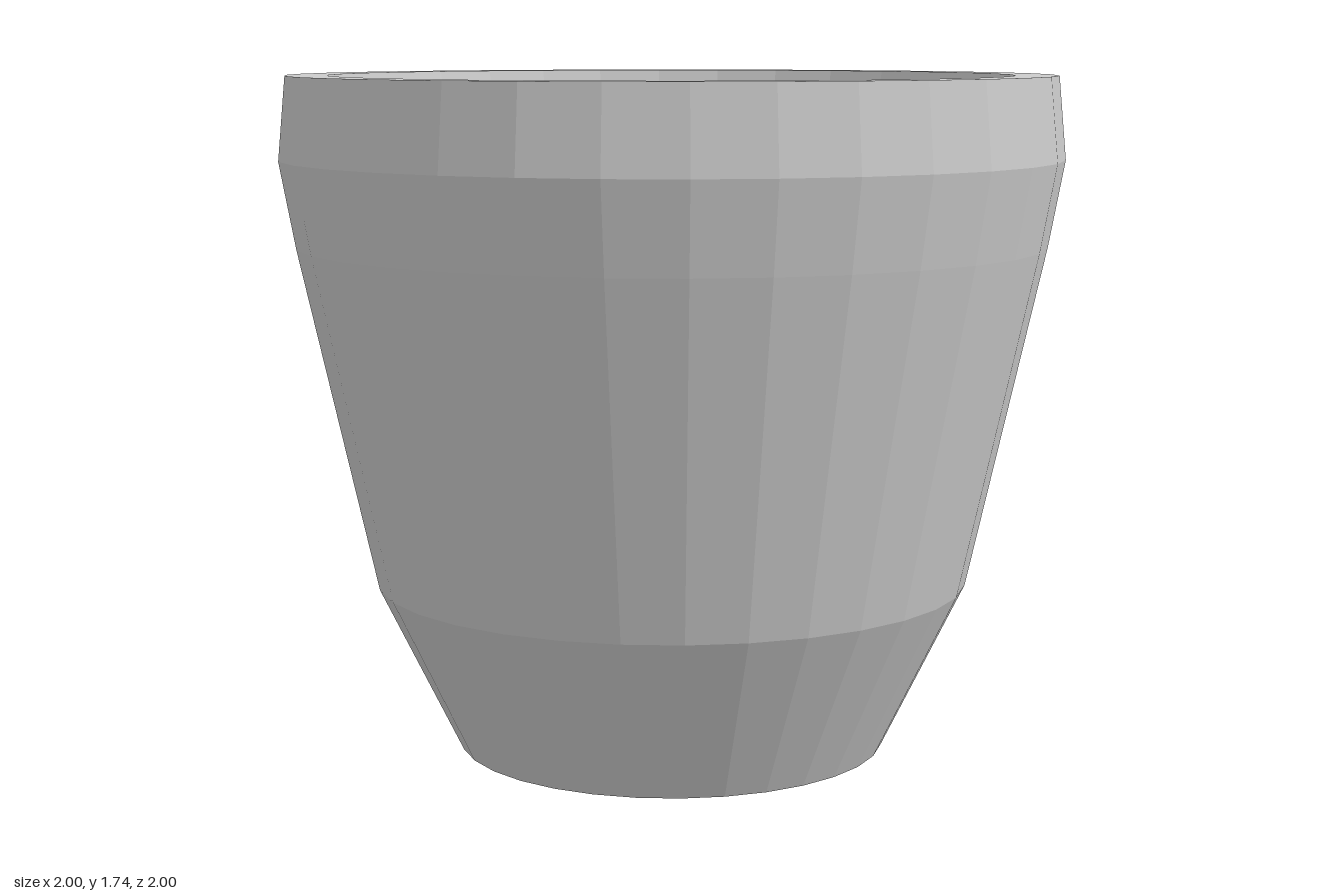
import * as THREE from 'three';

const SIDES = 32;

export function createModel() {
  const group = new THREE.Group();
  group.name = 'cup';
  const material = new THREE.MeshStandardMaterial({ color: 0xcccccc, flatShading: true });

  // Turned parts: profiles of [radius, height], listed so faces point outward
  const addLathe = (name, profile) => {
    const points = profile.map(([r, y]) => new THREE.Vector2(r, y));
    const mesh = new THREE.Mesh(new THREE.LatheGeometry(points, SIDES), material);
    mesh.name = name;
    group.add(mesh);
  };

  // Flat horizontal discs
  const addDisc = (name, radius, y, facing) => {
    const disc = new THREE.CircleGeometry(radius, SIDES).rotateX(-facing * Math.PI / 2);
    const mesh = new THREE.Mesh(disc, material);
    mesh.name = name;
    mesh.position.y = y;
    group.add(mesh);
  };

  addDisc('base', 0.555, 0, -1);
  addLathe('outerWall', [[0.555, 0], [0.767, 0.435], [0.96, 1.31], [1, 1.53], [0.98, 1.74]]);
  addLathe('rim', [[0.98, 1.74], [0.873, 1.74]]);
  addLathe('innerWall', [[0.873, 1.74], [0.508, 0.1]]);
  addDisc('innerFloor', 0.508, 0.1, 1);

  return group;
}
